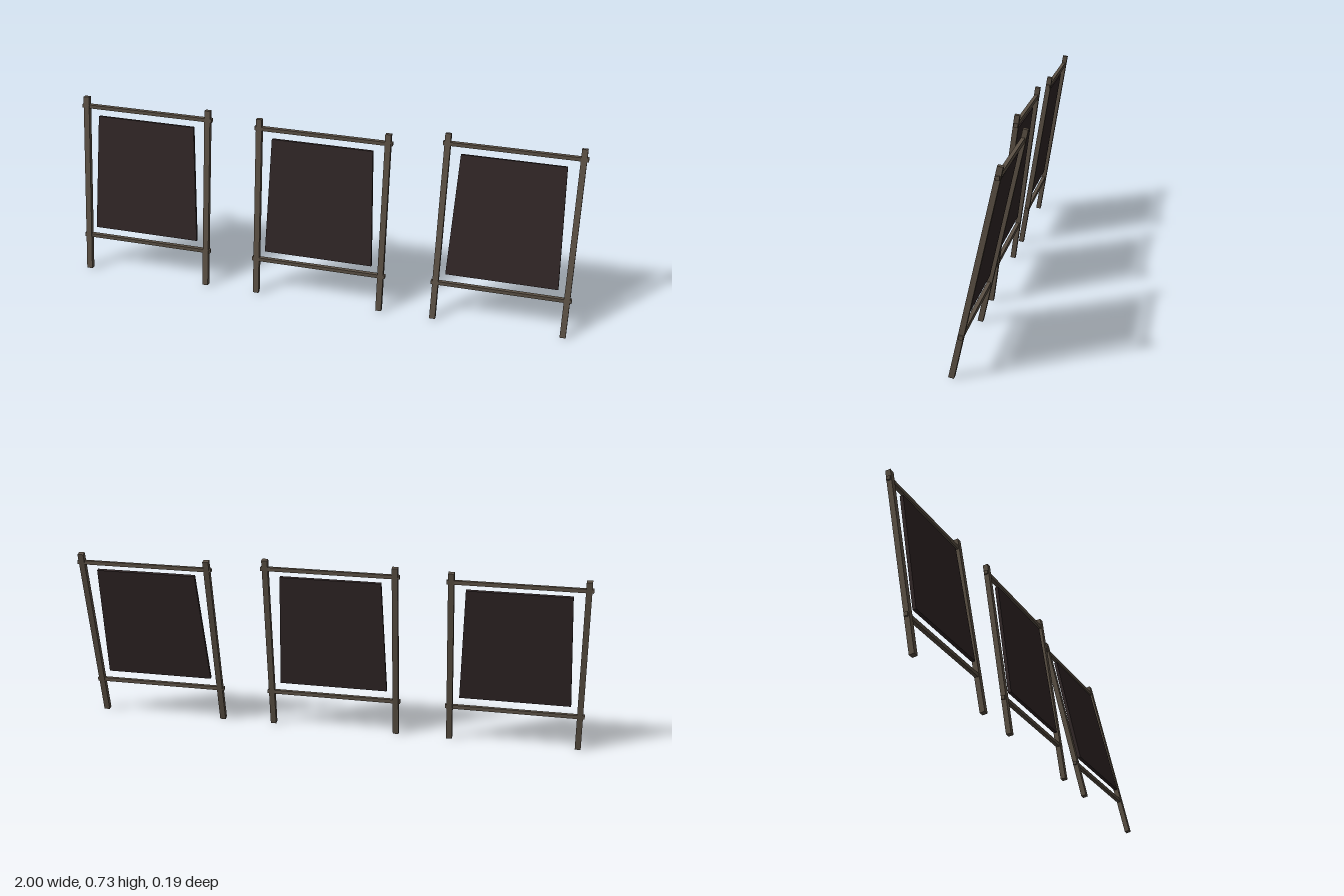
import * as THREE from 'three';

const wood = new THREE.MeshStandardMaterial({ name: 'weathered wood', color: 0x5b5044 });
const hide = new THREE.MeshStandardMaterial({ name: 'dark hide', color: 0x302626 });

const FOOT_Z = 0.085; // where the posts meet the ground

// One leaning frame; slope is the backward run in z per unit of height
function createRack(x, slope) {
  const rack = new THREE.Group();
  rack.name = 'stretchingRack';
  rack.position.set(x, 0, FOOT_Z);

  const add = (name, geometry, material, y, px = 0) => {
    const mesh = new THREE.Mesh(geometry, material);
    mesh.name = name;
    mesh.position.set(px, y, -slope * y);
    rack.add(mesh);
    return mesh;
  };
  const tilt = -Math.atan(slope);

  // Two leaning posts
  const length = 0.729 * Math.hypot(1, slope);
  for (const side of [-1, 1]) {
    const post = add(side > 0 ? 'leftPost' : 'rightPost',
      new THREE.BoxGeometry(0.023, length, 0.02), wood, 0.367, side * 0.255);
    post.rotation.x = tilt;
  }

  // Cross rails, poking out slightly past the posts
  for (const [name, y] of [['lowerRail', 0.149], ['upperRail', 0.694]]) {
    add(name, new THREE.BoxGeometry(0.546, 0.015, 0.015), wood, y);
  }

  // Tapered hide panel, set just forward of the post axis
  const h = 0.235 * Math.hypot(1, slope);
  const outline = new THREE.Shape([
    new THREE.Vector2(-0.218, -h), new THREE.Vector2(0.218, -h),
    new THREE.Vector2(0.2, h), new THREE.Vector2(-0.2, h),
  ]);
  const panel = add('hidePanel',
    new THREE.ExtrudeGeometry(outline, { depth: 0.013, bevelEnabled: false }), hide, 0.425);
  panel.rotation.x = tilt;
  panel.geometry.translate(0, 0, 0.001);
  return rack;
}

export function createModel() {
  const model = new THREE.Group();
  model.name = 'hideRacks';
  // Each rack leans back by a different amount
  for (const [x, slope] of [[-0.727, 0.167], [0, 0.141], [0.727, 0.231]]) {
    model.add(createRack(x, slope));
  }
  return model;
}
